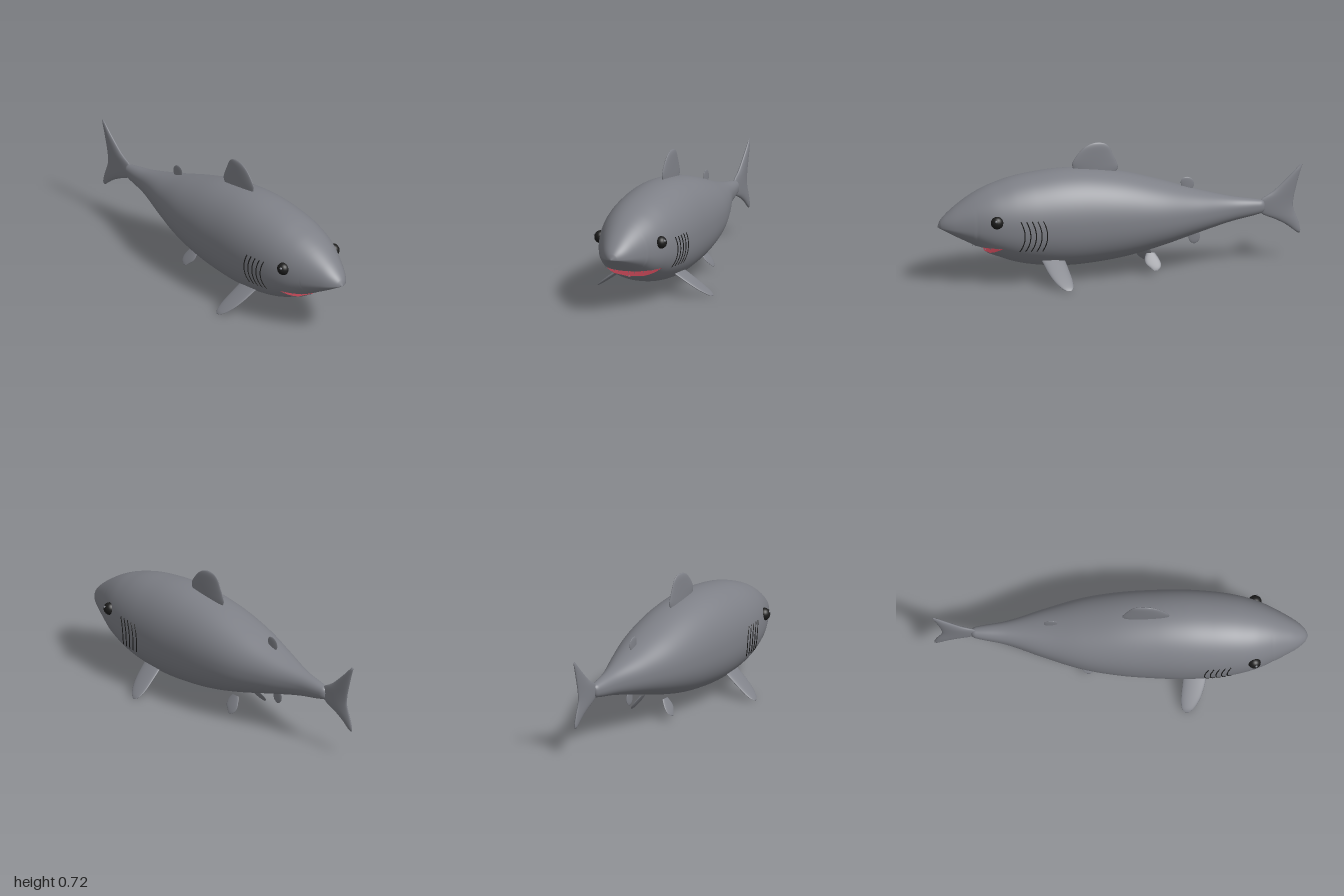
import * as THREE from 'three';
import { mergeVertices, mergeGeometries } from 'three/addons/utils/BufferGeometryUtils.js';

const mat = (name, color, side = THREE.FrontSide) => {
  const m = new THREE.MeshStandardMaterial({ color, side });
  m.name = name;
  return m;
};

// Body profile along x: [x, top, bottom, half width]
const PROFILE = [
  [-0.795, 0.31, 0.309, 0.001], [-0.785, 0.335, 0.28, 0.02], [-0.76, 0.345, 0.267, 0.031],
  [-0.6, 0.375, 0.237, 0.062], [-0.4, 0.43, 0.188, 0.13], [-0.2, 0.495, 0.135, 0.188],
  [0, 0.55, 0.092, 0.217], [0.2, 0.58, 0.07, 0.228], [0.35, 0.584, 0.068, 0.23],
  [0.5, 0.57, 0.085, 0.222], [0.6, 0.553, 0.108, 0.209], [0.68, 0.53, 0.138, 0.192],
  [0.745, 0.507, 0.165, 0.171], [0.82, 0.47, 0.212, 0.138], [0.9, 0.418, 0.254, 0.097],
  [0.95, 0.378, 0.281, 0.066], [0.985, 0.342, 0.301, 0.032], [1, 0.311, 0.309, 0.001],
];
const CY = 0.31, N_TOP = 2.1, N_LOW = 2.3;
const MOUTH = 0.68, JAW_TIP = 0.745, LIP_END = 0.82, LIP_Y = 0.212;

// Smooth interpolation of one profile column
function prof(x, k) {
  const P = PROFILE, last = P.length - 1;
  let i = 0;
  while (i < last - 1 && x > P[i + 1][0]) i++;
  const slope = (j) => {
    const a = P[Math.max(0, j - 1)], b = P[Math.min(last, j + 1)];
    return (b[k] - a[k]) / (b[0] - a[0]);
  };
  const h = P[i + 1][0] - P[i][0], t = (x - P[i][0]) / h, t2 = t * t, t3 = t2 * t;
  return (2 * t3 - 3 * t2 + 1) * P[i][k] + (t3 - 2 * t2 + t) * h * slope(i)
    + (3 * t2 - 2 * t3) * P[i + 1][k] + (t3 - t2) * h * slope(i + 1);
}

// Point on the body skin at station x and ring angle t
function skin(x, t) {
  const s = Math.sin(t), c = Math.cos(t), n = s < 0 ? N_LOW : N_TOP;
  const h = s < 0 ? CY - prof(x, 2) : prof(x, 1) - CY;
  return [x, CY + Math.sign(s) * h * Math.abs(s) ** (2 / n),
    prof(x, 3) * Math.sign(c) * Math.abs(c) ** (2 / n)];
}
// Ring angle of height y on the lower half
const angleAt = (x, y) =>
  -Math.asin(Math.min(1, Math.max(0, (CY - y) / (CY - prof(x, 2))) ** (N_LOW / 2)));
const jawLip = (x) => LIP_Y - (LIP_Y - 0.165) * (x - MOUTH) / (JAW_TIP - MOUTH);
const upperAngle = (x) => (x >= LIP_END - 1e-6 ? -Math.PI / 2 : angleAt(Math.max(x, MOUTH), LIP_Y));
const splitAngle = angleAt(MOUTH, LIP_Y);
const headAngle = (x) => (x <= MOUTH ? splitAngle : upperAngle(x));
const jawAngle = (x) => (x <= MOUTH ? splitAngle : x >= JAW_TIP - 1e-6 ? -Math.PI / 2 : angleAt(x, jawLip(x)));

// Grid surface through point(u, v); outward is du x dv
function grid(us, nv, point) {
  const pos = [], idx = [];
  us.forEach((u, i) => {
    for (let j = 0; j <= nv; j++) {
      pos.push(...point(u, j / nv));
      if (i < us.length - 1 && j < nv) {
        const a = i * (nv + 1) + j, b = a + nv + 1;
        idx.push(a, b, a + 1, b, b + 1, a + 1);
      }
    }
  });
  const g = new THREE.BufferGeometry();
  g.setAttribute('position', new THREE.Float32BufferAttribute(pos, 3));
  g.setIndex(idx);
  return g;
}
const smooth = (g) => {
  const m = mergeVertices(g, 1e-5);
  m.computeVertexNormals();
  return m;
};
const range = (n, a = 0, b = 1) => Array.from({ length: n + 1 }, (_, i) => a + (b - a) * i / n);

// Fin of lens-shaped sections; rows are [height, back x, front x]
function finGeometry(rows, thick, taper) {
  const curve = new THREE.CatmullRomCurve3(rows.map(([s, b, f]) => new THREE.Vector3(b, s, f)));
  return smooth(grid(range(28), 24, (u, v) => {
    const a = -u * Math.PI * 2, p = curve.getPoint(v);
    return [(p.x + p.z) / 2 + (p.z - p.x) / 2 * Math.cos(a), p.y, thick * taper(v) * Math.sin(a)];
  }));
}
const toTip = (v) => 1 - v ** 3;
const bothTips = (v) => Math.sqrt(Math.max(0, Math.sin(Math.PI * v)));

export function createModel() {
  const model = new THREE.Group();
  const grey = mat('sharkGrey', 0x7e8087);
  const black = mat('black', 0x1c1c1c);
  const red = mat('mouthRed', 0xa83a48, THREE.DoubleSide);
  const add = (name, geo, material, parent = model) => {
    const m = new THREE.Mesh(geo, material);
    m.name = name;
    parent.add(m);
    return m;
  };

  // Body: back and snout above the mouth line, belly and jaw below it
  const xs = PROFILE.slice(0, -1).flatMap((p, i) => range(6, p[0], PROFILE[i + 1][0]).slice(0, 6));
  xs.push(1);
  const back = grid(xs, 64, (x, v) => {
    const a = headAngle(x);
    return skin(x, a + v * (Math.PI - 2 * a));
  });
  const belly = grid(xs.filter((x) => x <= JAW_TIP + 1e-6), 32, (x, v) => {
    const a = jawAngle(x);
    return skin(x, Math.PI - a + v * (Math.PI + 2 * a));
  });
  add('body', smooth(mergeGeometries([back, belly])), grey);

  // Mouth lining: palate, throat and floor in one strip
  const palate = range(8, LIP_END, MOUTH).map((x) => ({ x, a: upperAngle(x), k: 0.04 * (LIP_END - x) / 0.14, d: 0 }));
  const throat = { x: MOUTH, a: splitAngle, k: 0.008, d: 0.08 };
  const floor = range(6, MOUTH, JAW_TIP).map((x) => ({ x, a: jawAngle(x), k: -0.02 * (JAW_TIP - x) / 0.065, d: 0 }));
  add('mouthLining', smooth(grid([...palate, throat, ...floor], 24, (r, v) => {
    const s = v * 2 - 1, bulge = 1 - s * s, p = skin(r.x, r.a);
    return [r.x - r.d * bulge, p[1] + r.k * bulge, p[2] * s];
  })), red);

  // Teeth along the upper lip, with one at the jaw tip
  const tooth = new THREE.ConeGeometry(0.004, 0.016, 8);
  for (const x of [0.705, 0.745, 0.785, 0.81, 0.818]) {
    const p = skin(x, upperAngle(x));
    for (const side of [1, -1]) {
      const t = add('upperTooth', tooth, grey);
      t.position.set(x - 0.005, LIP_Y - 0.004, p[2] * side * 0.97);
      t.rotation.x = Math.PI;
    }
  }
  add('lowerTooth', tooth, grey).position.set(JAW_TIP - 0.006, 0.17, 0);

  // Eyes with a small glint, and gill slits
  for (const side of [1, -1]) {
    const eye = add('eye', new THREE.SphereGeometry(0.034, 24, 16), black);
    eye.position.set(0.716, 0.36, side * 0.174);
    eye.scale.z = 0.92;
    add('eyeGlint', new THREE.SphereGeometry(0.007, 12, 8), grey)
      .position.set(0.727, 0.373, side * 0.199);

    for (let i = 0; i < 5; i++) {
      const pts = range(10).map((t) => {
        const x = 0.452 + i * 0.03 + 0.022 * (2 * t - 1) ** 2, y = 0.197 + 0.168 * t;
        const h = y < CY ? CY - prof(x, 2) : prof(x, 1) - CY, n = y < CY ? N_LOW : N_TOP;
        const z = prof(x, 3) * (1 - (Math.abs(y - CY) / h) ** n) ** (1 / n);
        return new THREE.Vector3(x, y, side * (z + 0.0005));
      });
      add('gillSlit', new THREE.TubeGeometry(new THREE.CatmullRomCurve3(pts), 20, 0.003, 6), black);
    }
  }

  // Upright fins
  add('dorsalFin', finGeometry([
    [0.54, 0.03, 0.24], [0.575, 0.012, 0.255], [0.61, 0.022, 0.262], [0.65, 0.04, 0.24],
    [0.69, 0.06, 0.203], [0.71, 0.083, 0.168], [0.718, 0.115, 0.135],
  ], 0.013, toTip), grey);
  add('rearDorsalFin', finGeometry([
    [0.42, -0.39, -0.35], [0.45, -0.405, -0.335], [0.475, -0.4, -0.333],
    [0.49, -0.385, -0.343], [0.496, -0.368, -0.36],
  ], 0.005, toTip), grey);
  add('tailFin', finGeometry([
    [0.148, -0.984, -0.972], [0.165, -0.987, -0.95], [0.2, -0.979, -0.905], [0.235, -0.967, -0.84],
    [0.265, -0.955, -0.775], [0.3, -0.946, -0.75], [0.34, -0.95, -0.765], [0.38, -0.958, -0.832],
    [0.43, -0.971, -0.89], [0.48, -0.985, -0.943], [0.523, -1, -0.985],
  ], 0.014, bothTips), grey);
  const anal = add('analFin', finGeometry([
    [-0.21, -0.42, -0.38], [-0.18, -0.438, -0.377], [-0.15, -0.436, -0.377],
    [-0.135, -0.425, -0.387], [-0.126, -0.412, -0.403],
  ].map(([s, b, f]) => [-0.21 - s, b, f]), 0.005, toTip), grey);
  anal.position.y = 0;
  anal.geometry.dispose();
  anal.geometry = finGeometry([
    [0, -0.42, -0.38], [0.03, -0.438, -0.377], [0.06, -0.436, -0.377],
    [0.075, -0.425, -0.387], [0.084, -0.412, -0.403],
  ], 0.005, toTip);
  anal.rotation.x = Math.PI;
  anal.position.y = 0.21;

  // Paired side fins, splayed outwards and down
  const pectoral = finGeometry([
    [-0.03, 0.345, 0.472], [0, 0.34, 0.463], [0.07, 0.332, 0.448], [0.135, 0.327, 0.425],
    [0.185, 0.333, 0.393], [0.205, 0.35, 0.367],
  ], 0.011, toTip);
  const pelvic = finGeometry([
    [0, -0.175, -0.125], [0.03, -0.19, -0.114], [0.06, -0.199, -0.118],
    [0.085, -0.193, -0.14], [0.102, -0.172, -0.157],
  ], 0.006, toTip);
  for (const side of [1, -1]) {
    const p = add('pectoralFin', pectoral, grey);
    p.position.set(0, 0.121, side * 0.164);
    p.rotation.x = side * 2.2;
    const q = add('pelvicFin', pelvic, grey);
    q.position.set(0, 0.107, side * 0.067);
    q.rotation.x = side * 2.54;
  }
  return model;
}
